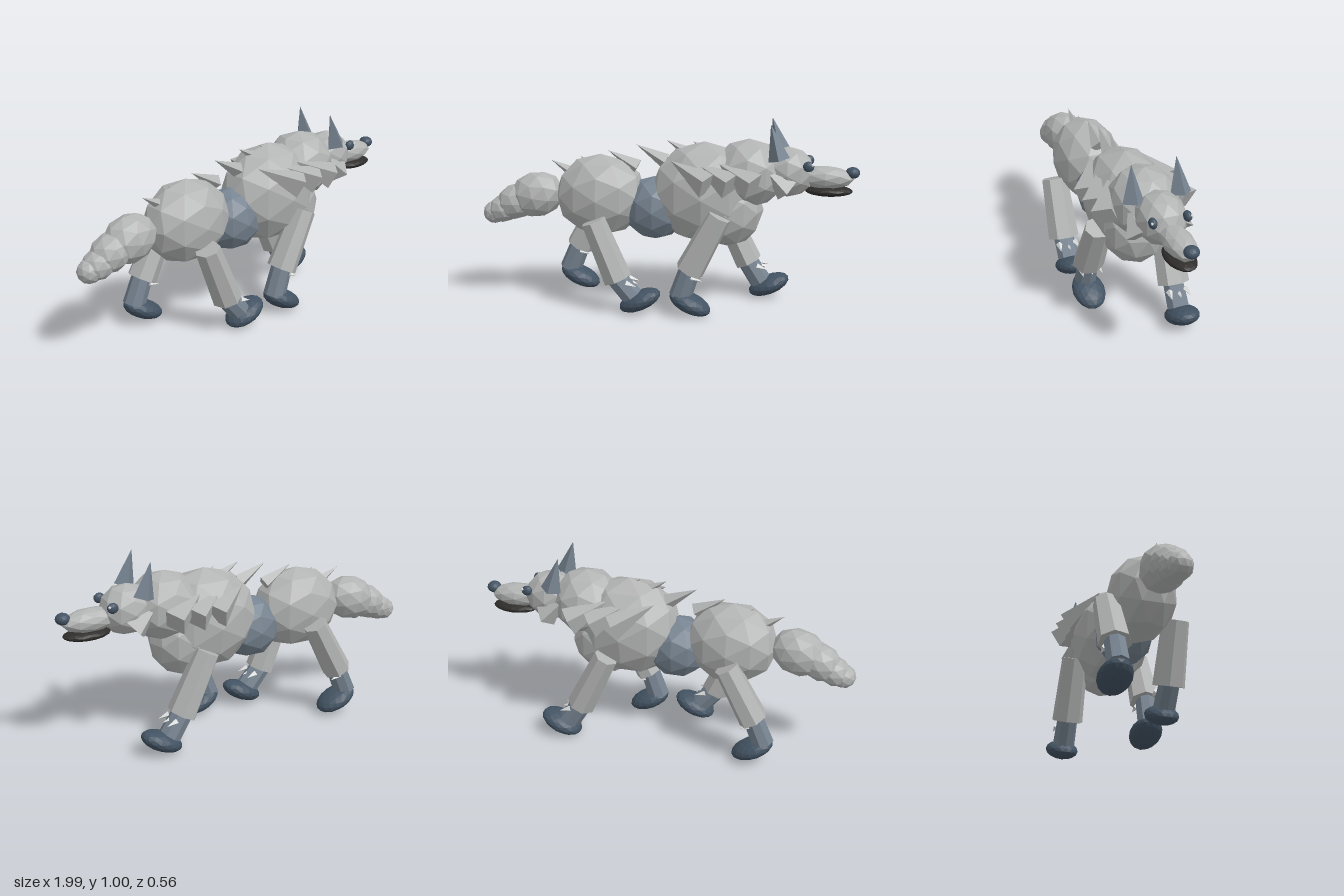
import * as THREE from 'three';

const mat = (name, color) => {
  const m = new THREE.MeshStandardMaterial({ color });
  m.name = name;
  m.flatShading = true;
  return m;
};

export function createModel() {
  const fur = mat('grey fur', 0xb2b4b3);
  const slate = mat('slate', 0x768390);
  const dark = mat('dark slate', 0x435363);
  const black = mat('mouth black', 0x2e2d2b);
  const pale = mat('pale grey', 0xdcdedd);

  const model = new THREE.Group();
  model.name = 'wolf';
  const body = new THREE.Group();
  body.name = 'body';
  body.position.z = 0.006;
  model.add(body);

  const V = (p) => new THREE.Vector3(...p);
  const add = (name, geo, material, pos) => {
    const mesh = new THREE.Mesh(geo, material);
    mesh.name = name;
    mesh.position.copy(pos);
    body.add(mesh);
    return mesh;
  };
  // faceted ellipsoid, tilted in the side plane
  const blob = (name, material, pos, radii, tilt = 0, detail = 1) => {
    const mesh = add(name, new THREE.IcosahedronGeometry(1, detail).scale(...radii), material, V(pos));
    mesh.rotation.z = tilt;
    return mesh;
  };
  // tapered prism from a to b; radius rb of zero makes a spike
  const rod = (name, material, a, b, ra, rb, sides, zScale = 1) => {
    const from = V(a), to = V(b), dir = to.clone().sub(from);
    const geo = new THREE.CylinderGeometry(rb, ra, dir.length(), sides).scale(1, 1, zScale);
    const mesh = add(name, geo, material, from.add(to).multiplyScalar(0.5));
    mesh.quaternion.setFromUnitVectors(new THREE.Vector3(0, 1, 0), dir.normalize());
    return mesh;
  };

  // torso
  blob('hips', fur, [-0.35, 0.59, 0], [0.245, 0.22, 0.18]);
  blob('waist', slate, [-0.06, 0.53, 0], [0.17, 0.17, 0.155]);
  blob('chest', fur, [0.2, 0.62, 0], [0.285, 0.27, 0.21]);
  blob('breast', fur, [0.32, 0.535, 0], [0.19, 0.2, 0.175]);
  blob('neckRuff', fur, [0.43, 0.73, 0], [0.19, 0.18, 0.18]);

  // tail
  blob('tailBase', fur, [-0.7, 0.58, 0], [0.15, 0.122, 0.115], 0.3);
  blob('tailMiddle', fur, [-0.81, 0.54, 0], [0.12, 0.095, 0.1], 0.5);
  blob('tailEnd', fur, [-0.88, 0.5, 0], [0.095, 0.075, 0.085], 0.5);
  blob('tailTip', fur, [-0.935, 0.475, 0], [0.063, 0.062, 0.063]);

  // head
  blob('head', fur, [0.63, 0.742, 0], [0.14, 0.132, 0.125]);
  blob('snout', fur, [0.82, 0.718, 0], [0.15, 0.06, 0.074], -0.03);
  blob('nose', dark, [0.96, 0.745, 0], [0.037, 0.03, 0.038], 0, 2);
  blob('lowerJaw', black, [0.842, 0.648, 0], [0.123, 0.028, 0.072], 0, 2);

  for (const s of [1, -1]) {
    blob('eye', dark, [0.735, 0.788, s * 0.088], [0.029, 0.027, 0.02], 0, 2);
    blob('eyeGlint', pale, [0.755, 0.798, s * 0.1], [0.008, 0.008, 0.008], 0, 0);
    rod('ear', slate, [0.587, 0.825, s * 0.122], [0.542, 1.003, s * 0.115], 0.055, 0, 4);
    rod('cheekTuft', fur, [0.63, 0.665, s * 0.11], [0.52, 0.77, s * 0.12], 0.065, 0, 4);
    // swept mane, widest toward the front
    for (const x of [0.235, 0.35, 0.465]) {
      rod('maneSpike', fur, [x, 0.705, s * 0.215], [x - 0.2, 0.805, s * 0.11], 0.074, 0, 4);
    }
  }

  // ridge spikes along the spine
  const tips = [[-0.615, 0.77], [-0.46, 0.795], [-0.31, 0.83], [-0.16, 0.865], [0, 0.892], [0.135, 0.89]];
  for (const [x, y] of tips) {
    rod('spineSpike', fur, [x + 0.155, y - 0.085, 0], [x, y, 0], 0.042, 0, 4);
  }

  // legs: side, shoulder, knee, ankle, paw centre, paw tilt
  const legs = [
    ['frontLeg', 1, [0.295, 0.54], [0.143, 0.243], [0.095, 0.1], [0.147, 0.068], -0.42],
    ['frontLeg', -1, [0.275, 0.51], [0.425, 0.198], [0.495, 0.09], [0.54, 0.072], 0.42],
    ['rearLeg', 1, [-0.36, 0.49], [-0.235, 0.183], [-0.155, 0.09], [-0.117, 0.072], 0.42],
    ['rearLeg', -1, [-0.36, 0.54], [-0.51, 0.255], [-0.565, 0.12], [-0.51, 0.08], -0.42],
  ];
  for (const [name, s, top, knee, ankle, paw, tilt] of legs) {
    const z = s * 0.18;
    rod(name + 'Upper', fur, [...top, z], [...knee, z], 0.064, 0.076, 7, 1.12);
    const dx = ankle[0] - knee[0], dy = ankle[1] - knee[1];
    rod(name + 'Lower', slate, [knee[0] - dx * 0.2, knee[1] - dy * 0.2, z], [...ankle, z], 0.055, 0.06, 8);
    blob(name + 'Paw', dark, [...paw, z], [0.116, 0.051, 0.087], tilt, 2);
    // small tufts below the knee
    for (const o of [-0.045, 0, 0.045]) {
      rod('legTuft', pale, [knee[0] + dx * 0.3 + 0.03, knee[1] + dy * 0.3 + 0.02, z + o],
        [knee[0] + dx * 0.3 + 0.085, knee[1] + dy * 0.3 + 0.005, z + o * 1.2], 0.018, 0, 4);
    }
  }
  return model;
}
